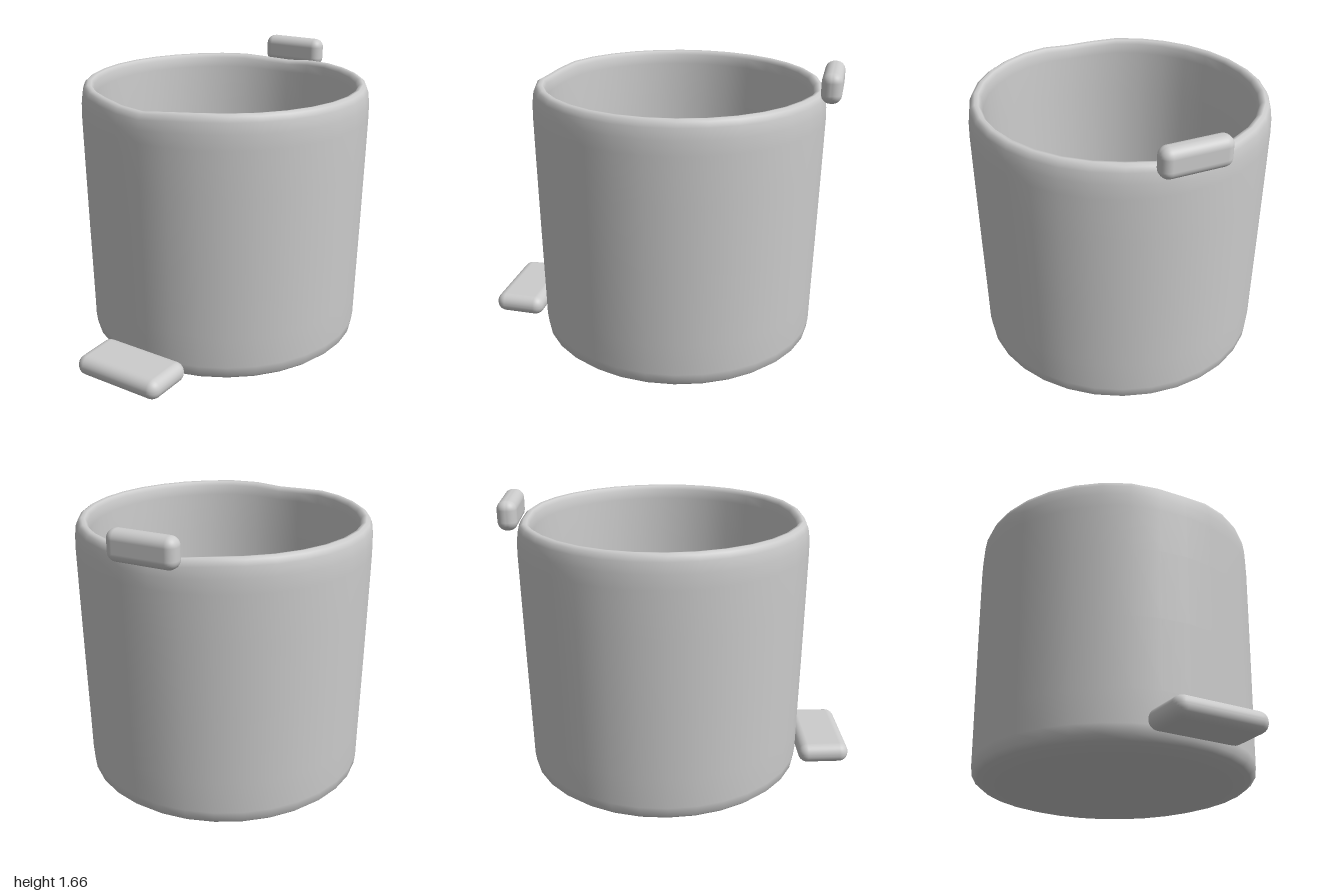
import * as THREE from 'three';
import { RoundedBoxGeometry } from 'three/addons/geometries/RoundedBoxGeometry.js';

export function createModel() {
  const model = new THREE.Group();
  model.name = 'pedalBin';
  const grey = new THREE.MeshStandardMaterial({ color: 0xcccccc });
  grey.name = 'grey';

  function add(name, geometry, x, y, z) {
    const mesh = new THREE.Mesh(geometry, grey);
    mesh.name = name;
    mesh.position.set(x, y, z);
    model.add(mesh);
    return mesh;
  }

  // Hollow bin: up the outer wall, over the soft rim, down to the inner floor
  const profile = [
    [0, 0], [0.35, 0.002], [0.62, 0.01], [0.7, 0.02], [0.765, 0.04], [0.793, 0.065],
    [0.8, 0.12], [0.803, 0.3], [0.811, 0.7], [0.818, 1.1], [0.822, 1.36], [0.82, 1.44],
    [0.812, 1.5], [0.8, 1.528], [0.782, 1.54], [0.762, 1.536], [0.748, 1.515],
    [0.742, 1.46], [0.74, 1.2], [0.733, 0.7], [0.726, 0.25], [0.715, 0.14],
    [0.68, 0.095], [0.6, 0.08], [0, 0.08],
  ].map(([r, y]) => new THREE.Vector2(r, y));
  const bin = new THREE.LatheGeometry(profile, 32);

  // Shallow dip in the middle of the rim, front and back
  const p = bin.attributes.position;
  for (let i = 0; i < p.count; i++) {
    const x = p.getX(i), y = p.getY(i);
    const dip = 0.022 * Math.exp(-(((x + 0.04) / 0.17) ** 2));
    p.setY(i, y - dip * THREE.MathUtils.smoothstep(y, 1.35, 1.52));
  }
  add('bin', bin, 0, 0, -0.097);

  // Foot pedal, slightly narrower towards its front edge
  const pedal = new RoundedBoxGeometry(0.55, 0.115, 0.3, 4, 0.056);
  const q = pedal.attributes.position;
  for (let i = 0; i < q.count; i++) {
    q.setX(i, q.getX(i) * (1 - 0.12 * Math.max(0, q.getZ(i))));
  }
  add('pedal', pedal, 0, 0.118, 0.85);

  // Hinge block at the back of the rim
  add('hinge', new RoundedBoxGeometry(0.385, 0.165, 0.11, 4, 0.05), -0.003, 1.573, -0.945);

  return model;
}
